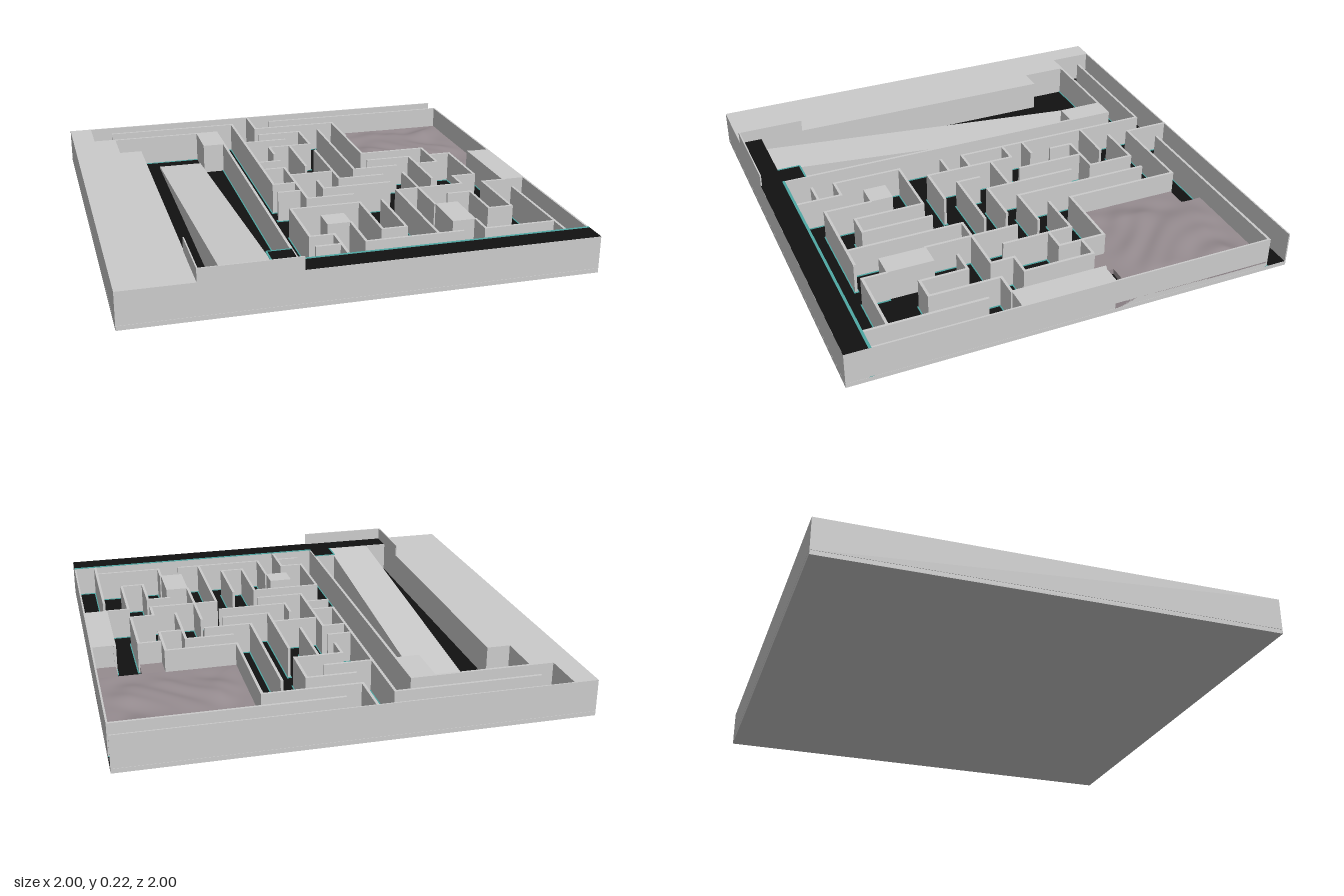
import * as THREE from 'three';

// The board is laid out on a 19 x 19 grid of square cells.
const at = k => -1 + k * 2 / 19;
const FLOOR = 0.02, TOP = 0.162, T = 0.012, SAND = 0.06;

const grey = new THREE.MeshStandardMaterial({ color: 0xcccccc });
const black = new THREE.MeshStandardMaterial({ color: 0x111111 });
const teal = new THREE.MeshStandardMaterial({ color: 0x4fa8a4 });
const stone = new THREE.MeshStandardMaterial({ color: 0x968c90 });

function box(parent, name, x0, x1, y0, y1, z0, z1, material = grey) {
  const mesh = new THREE.Mesh(new THREE.BoxGeometry(x1 - x0, y1 - y0, z1 - z0), material);
  mesh.position.set((x0 + x1) / 2, (y0 + y1) / 2, (z0 + z1) / 2);
  mesh.name = name;
  parent.add(mesh);
  return mesh;
}

// Solid block covering whole grid cells
const block = (parent, name, i0, i1, j0, j1, top = TOP, material = grey) =>
  box(parent, name, at(i0), at(i1), FLOOR, top, at(j0), at(j1), material);

// Flat black sheet covering whole grid cells
function sheet(parent, name, i0, i1, j0, j1, y) {
  const mesh = new THREE.Mesh(new THREE.PlaneGeometry(at(i1) - at(i0), at(j1) - at(j0)).rotateX(-Math.PI / 2), black);
  mesh.position.set((at(i0) + at(i1)) / 2, y, (at(j0) + at(j1)) / 2);
  mesh.name = name;
  parent.add(mesh);
}

// Thin wall along a grid line, with a teal line at its foot
function wall(parent, i0, j0, i1, j1) {
  const strip = (name, h, y1, m) =>
    box(parent, name, Math.max(at(i0) - h, -1), Math.min(at(i1) + h, 1), FLOOR, y1,
      Math.max(at(j0) - h, -1), Math.min(at(j1) + h, 1), m);
  strip('mazeWall', T / 2, TOP, grey);
  strip('wallFootLine', T / 2 + 0.005, FLOOR + 0.003, teal);
}

// Rippled ground, flat towards the rim
function groundHeight(x, z) {
  const u = (x - at(13)) / (at(19) - at(13)), v = (z - at(1)) / (at(7) - at(1));
  if (u <= 0 || u >= 1 || v <= 0 || v >= 1) return SAND;
  const fade = Math.min(1, 5 * Math.min(u, 1 - u, v, 1 - v));
  const a = 7 * u + 1.5 * Math.sin(5 * v), b = 8 * v + 1.3 * Math.sin(6 * u);
  const ripple = Math.sin(a) * Math.cos(b) + 0.5 * Math.sin(2.1 * b + a) + 0.3 * Math.sin(3 * a - b);
  return SAND + fade * (0.006 + 0.01 * ripple);
}

function ground(parent, i0, i1, j0, j1) {
  block(parent, 'groundBase', i0, i1, j0, j1, SAND - 0.014, stone);
  const w = at(i1) - at(i0), d = at(j1) - at(j0);
  const geo = new THREE.PlaneGeometry(w, d, (i1 - i0) * 8, (j1 - j0) * 8).rotateX(-Math.PI / 2);
  geo.translate((at(i0) + at(i1)) / 2, 0, (at(j0) + at(j1)) / 2);
  const p = geo.attributes.position;
  for (let k = 0; k < p.count; k++) p.setY(k, groundHeight(p.getX(k), p.getZ(k)));
  geo.computeVertexNormals();
  const mesh = new THREE.Mesh(geo, stone);
  mesh.name = 'rippledGround';
  parent.add(mesh);
}

// Rows: [grid z, from x, to x, from x, to x ...]
const ROWS = [
  [1, 2, 8, 10, 19], [2, 1, 7, 9, 13], [3, 9, 11], [4, 8, 10], [5, 9, 11],
  [7, 8, 9, 13, 16], [8, 8, 9, 13, 15, 16, 17], [9, 9, 11, 12, 14, 15, 16],
  [10, 8, 9, 11, 13], [11, 8, 9, 10, 13, 16, 17], [12, 9, 11, 13, 16, 17, 18],
  [13, 8, 11, 15, 16], [15, 16, 17], [16, 8, 9, 11, 12],
  [17, 8, 9, 10, 14, 15, 18], [18, 7, 19],
];
// Columns: [grid x, from z, to z, from z, to z ...]
const COLUMNS = [
  [7, 2, 18], [8, 1, 10, 13, 16], [9, 0, 2, 5, 6, 8, 12, 16, 18],
  [10, 5, 8, 10, 11, 15, 17], [11, 3, 5, 6, 10, 13, 16], [12, 3, 9, 13, 16],
  [13, 2, 7, 12, 17], [14, 10, 14], [15, 8, 11, 16, 17],
  [16, 7, 9, 11, 12, 13, 15], [17, 8, 11, 12, 15], [18, 8, 12, 13, 18],
];

export function createModel() {
  const board = new THREE.Group();
  board.name = 'mazeBoard';

  // Base plate and dark floor
  box(board, 'basePlate', -1, 1, 0, FLOOR - 0.001, -1, 1);
  sheet(board, 'floor', 0, 19, 0, 19, FLOOR);

  // Stepped slab on one side
  const slab = new THREE.Group();
  slab.name = 'sideSlab';
  block(slab, 'slabOuter', 0, 1, 0, 19);
  block(slab, 'slabMiddle', 1, 2, 2, 19);
  block(slab, 'slabInner', 2, 3, 4, 19);
  board.add(slab);

  // Outer walls; the back lane stays open at its end
  box(board, 'backWall', -1, 1, FLOOR, TOP, -1, -1 + 0.006);
  box(board, 'outerSideWall', 1 - 0.008, 1, FLOOR, TOP, at(1), 1);

  // Raised front lane with a black top
  block(board, 'frontLane', 3, 19, 18, 19);
  block(board, 'frontLaneStep', 6, 7, 17, 18);
  sheet(board, 'frontLaneTop', 3, 19, 18, 19, TOP + 0.001);
  sheet(board, 'frontLaneStepTop', 6, 7, 17, 18, TOP + 0.001);
  box(board, 'laneLine', at(7), 1, TOP, TOP + 0.002, at(18) - 0.006, at(18) + 0.006, teal);
  box(board, 'stepLineSide', at(6) - 0.004, at(6) + 0.004, TOP, TOP + 0.002, at(17), at(18), teal);
  box(board, 'stepLineBack', at(6), at(7), TOP, TOP + 0.002, at(17) - 0.004, at(17) + 0.004, teal);

  // Upright guard at the top of the ramp
  box(board, 'guardFront', at(3), at(7), TOP, 0.22, 1 - 0.006, 1);
  box(board, 'guardSide', at(3) - 0.003, at(3) + 0.003, TOP, 0.22, 0.69, 1);

  // Long ramp, rising to the front
  const profile = new THREE.Shape([
    new THREE.Vector2(at(3) - 0.01, FLOOR), new THREE.Vector2(at(18), FLOOR),
    new THREE.Vector2(at(18), TOP), new THREE.Vector2(at(3) - 0.01, FLOOR + 0.01),
  ]);
  const rampGeo = new THREE.ExtrudeGeometry(profile, { depth: at(6) - at(4), bevelEnabled: false });
  rampGeo.rotateY(-Math.PI / 2);
  const ramp = new THREE.Mesh(rampGeo, grey);
  ramp.position.x = at(6);
  ramp.name = 'ramp';
  board.add(ramp);

  // Solid blocks in the maze
  for (const [i0, i1, j0, j1] of [[6, 7, 2, 4], [9, 10, 14, 15], [14, 15, 14, 16], [18, 19, 8, 12]])
    block(board, 'mazeBlock', i0, i1, j0, j1);

  // Thin maze walls
  const maze = new THREE.Group();
  maze.name = 'mazeWalls';
  for (const [j, ...ends] of ROWS)
    for (let k = 0; k < ends.length; k += 2) wall(maze, ends[k], j, ends[k + 1], j);
  for (const [i, ...ends] of COLUMNS)
    for (let k = 0; k < ends.length; k += 2) wall(maze, i, ends[k], i, ends[k + 1]);
  board.add(maze);

  // Rippled ground in the back corner
  const field = new THREE.Group();
  field.name = 'groundField';
  ground(field, 14, 19, 1, 2);
  ground(field, 13, 19, 2, 7);
  ground(field, 16, 17, 7, 8);
  ground(field, 18, 19, 7, 8);
  board.add(field);

  return board;
}
